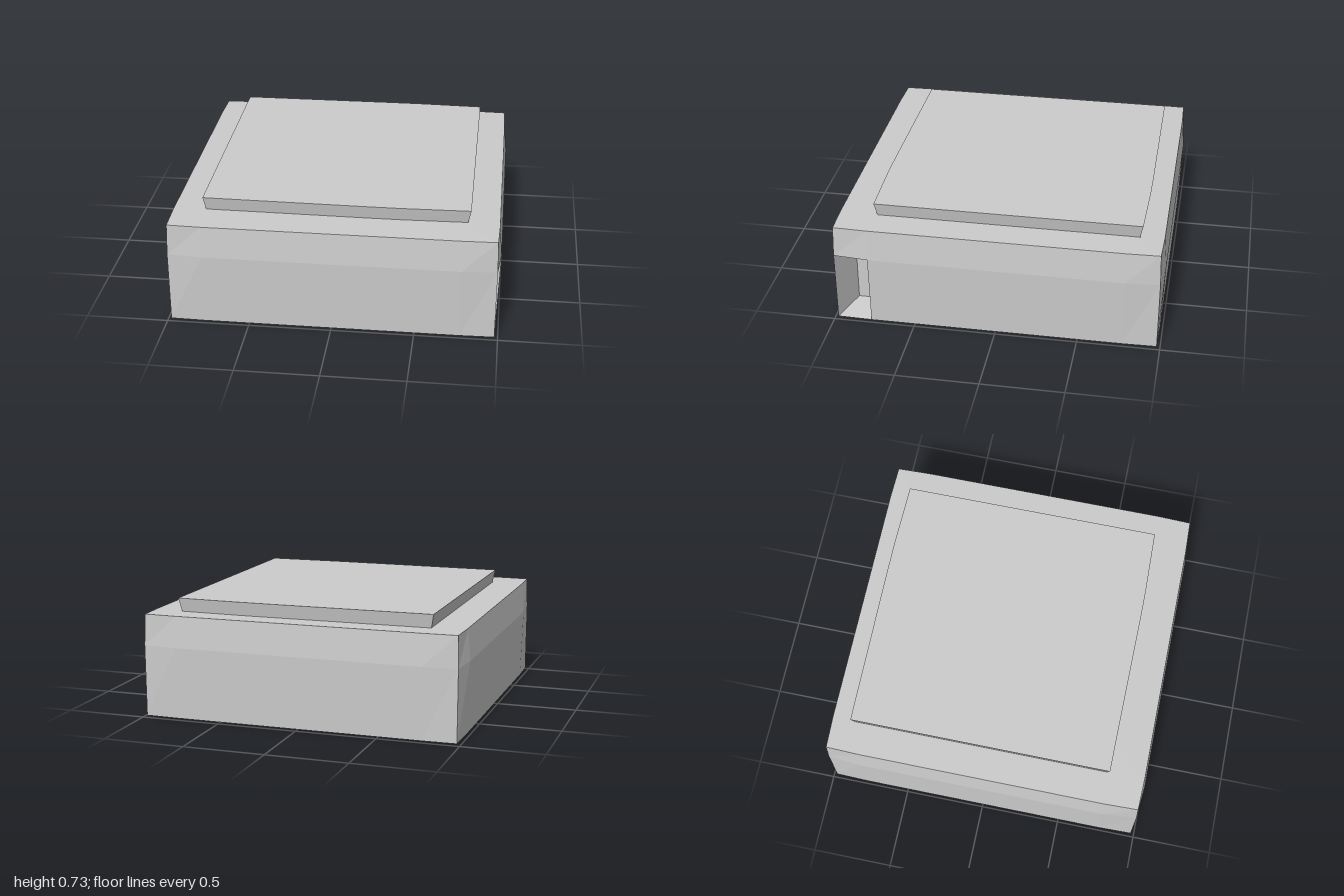
import * as THREE from 'three';

const material = new THREE.MeshStandardMaterial({ color: 0xcccccc, flatShading: true });

function makeMesh(name, quads) {
  const pos = [];
  for (const [a, b, c, d] of quads) pos.push(...a, ...b, ...c, ...a, ...c, ...d);
  const geo = new THREE.BufferGeometry();
  geo.setAttribute('position', new THREE.Float32BufferAttribute(pos, 3));
  geo.computeVertexNormals();
  const mesh = new THREE.Mesh(geo, material);
  mesh.name = name;
  return mesh;
}

// Quads between stacked rings, plus end caps; skip(level, segment) leaves an opening
function loft(rings, skip = () => false) {
  const quads = [];
  const n = rings[0].length;
  for (let l = 0; l < rings.length - 1; l++) {
    for (let i = 0; i < n; i++) {
      const j = (i + 1) % n;
      if (!skip(l, i)) quads.push([rings[l][i], rings[l][j], rings[l + 1][j], rings[l + 1][i]]);
    }
  }
  const cap = (ring, up) => {
    const y = ring[0][1];
    for (let i = 0; i < n; i++) {
      const a = ring[i], b = ring[(i + 1) % n], o = [0, y, 0];
      quads.push(up ? [o, a, b, o] : [o, b, a, o]);
    }
  };
  cap(rings[0], false);
  cap(rings[rings.length - 1], true);
  return quads;
}

// Square outline with corners at c and sides bowed out to m
function bowedRing(y, c, m, s = 1) {
  const e = 0.77;
  return [
    [c, c], [m, e], [m, -e], [c, -c], [e, -m], [-e, -m],
    [-c, -c], [-m, -e], [-m, e], [-c, c], [-e, m], [e, m],
  ].map(([x, z]) => [x * s, y, z * s]);
}

export function createModel() {
  const group = new THREE.Group();

  // Slightly bulging body, open at one front corner of the +x side
  const bottom = bowedRing(0.008, 0.98, 0.985);
  const middle = bowedRing(0.45, 0.982, 1);
  const rings = [
    bowedRing(0, 0.98, 0.985, 0.8), bottom, middle,
    bowedRing(0.643, 0.977, 0.983), bowedRing(0.647, 0.977, 0.983, 0.8),
  ];
  group.add(makeMesh('body', loft(rings, (l, i) => l === 1 && i === 0)));

  // Tapered recess behind the opening
  const outer = [bottom[0], bottom[1], middle[1], middle[0]];
  const inner = [[0.78, 0.035, 0.9], [0.78, 0.035, 0.77], [0.78, 0.448, 0.77], [0.78, 0.448, 0.9]];
  const recess = [inner];
  for (let i = 0; i < 4; i++) {
    const j = (i + 1) % 4;
    recess.push([outer[i], outer[j], inner[j], inner[i]]);
  }
  group.add(makeMesh('cornerRecess', recess));

  // Raised lid, flaring upward, set towards the back
  const lidRing = (y, inset) => [
    [0.81, 0.765], [0.81, -0.855], [0.4, -0.865], [0.2, -0.865],
    [-0.8, -0.857], [-0.8, 0.765], [0.2, 0.775], [0.4, 0.775],
  ].map(([x, z]) => [x - Math.sign(x) * inset * (Math.abs(x) > 0.5 ? 1 : 0), y, z - Math.sign(z) * inset]);
  group.add(makeMesh('lid', loft([lidRing(0.64, 0.018), lidRing(0.73, 0)])));

  return group;
}
